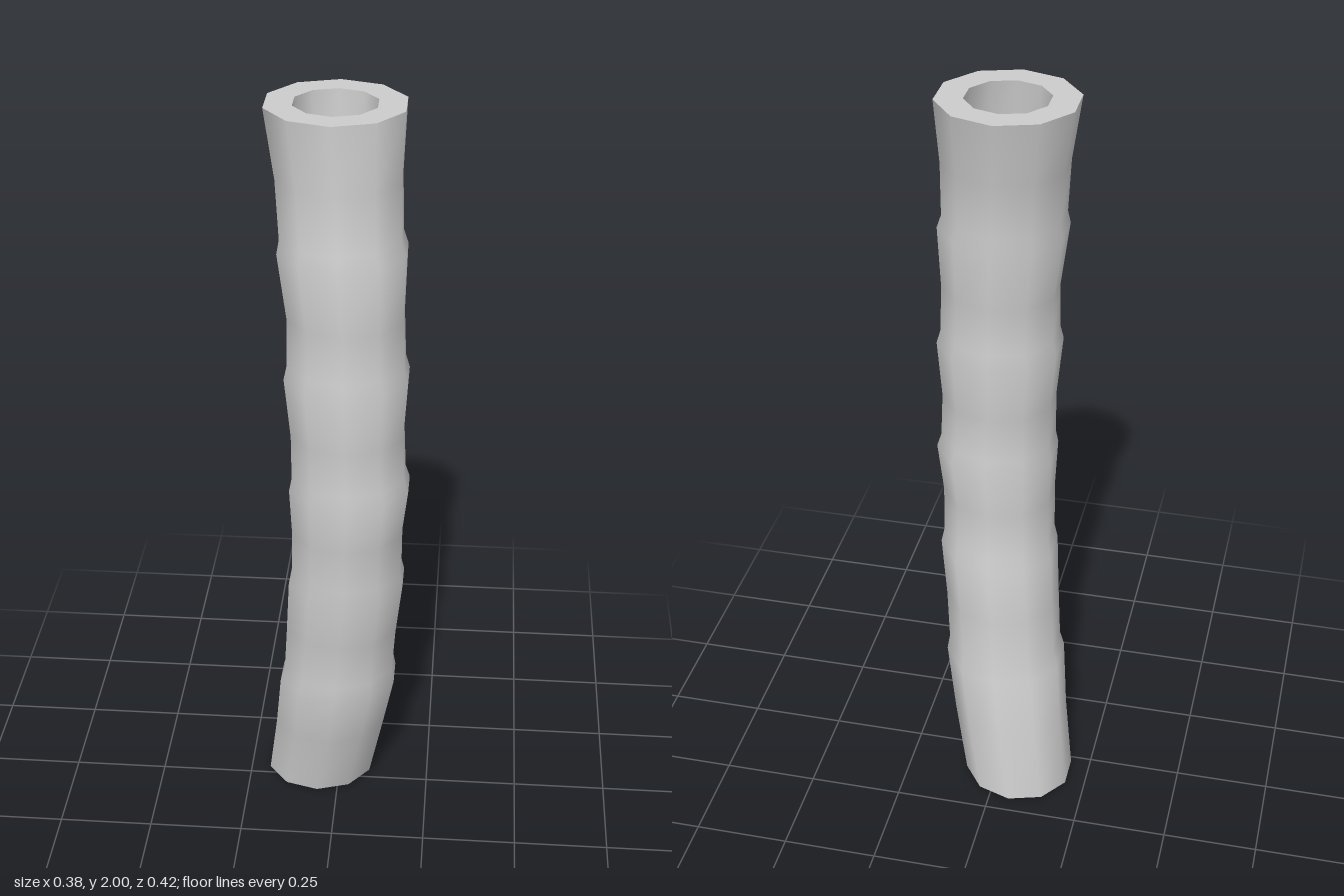
import * as THREE from 'three';
import { toCreasedNormals } from 'three/addons/utils/BufferGeometryUtils.js';

const SIDES = 10;

// Cross-sections up the stalk: height, centre x, centre z, radius, tilt
const STALK = [
  [0.006, -0.055, -0.065, 0.142, 0.03],
  [0.2, -0.024, -0.032, 0.148, 0.04],
  [0.37, 0, 0.008, 0.155, 0.08], // node
  [0.41, 0.003, 0.011, 0.146, 0.08],
  [0.55, 0.012, 0.026, 0.146, 0.06],
  [0.71, 0.025, 0.043, 0.15, 0.05], // node
  [0.745, 0.026, 0.048, 0.142, 0.05],
  [0.87, 0.028, 0.057, 0.141, 0.04],
  [1.005, 0.033, 0.06, 0.152, 0.04], // node
  [1.04, 0.031, 0.061, 0.143, 0.03],
  [1.16, 0.028, 0.061, 0.141, 0.02],
  [1.32, 0.025, 0.056, 0.154, 0], // node
  [1.355, 0.024, 0.055, 0.145, 0],
  [1.48, 0.022, 0.053, 0.142, 0],
  [1.65, 0.013, 0.045, 0.156, 0], // node
  [1.685, 0.01, 0.041, 0.147, 0],
  [1.83, 0.003, 0.024, 0.15, 0],
  [2, -0.007, 0.004, 0.167, 0],
];

// Hollow top: rim edge down to the floor of the bore
const BORE = [
  [2, -0.007, 0.004, 0.1, 0],
  [1.84, 0.003, 0.02, 0.1, 0],
];

// Joins the cross-sections into a skin, closed by a flat cap at each end
function loft(rows) {
  const pos = [];
  const index = [];
  for (const [y, cx, cz, r, tilt] of rows) {
    for (let i = 0; i < SIDES; i++) {
      const a = (i / SIDES) * Math.PI * 2;
      const dx = Math.sin(a) * r * 1.05;
      const dz = Math.cos(a) * r;
      pos.push(cx + dx, y + tilt * (dx * 0.6 + dz), cz + dz);
    }
  }
  for (let j = 0; j < rows.length - 1; j++) {
    for (let i = 0; i < SIDES; i++) {
      const a = j * SIDES + i;
      const b = j * SIDES + ((i + 1) % SIDES);
      index.push(a, b, b + SIDES, a, b + SIDES, a + SIDES);
    }
  }
  const first = pos.length / 3;
  for (const [y, cx, cz] of [rows[0], rows[rows.length - 1]]) pos.push(cx, y, cz);
  const last = (rows.length - 1) * SIDES;
  for (let i = 0; i < SIDES; i++) {
    const n = (i + 1) % SIDES;
    index.push(first, n, i, first + 1, last + i, last + n);
  }
  const geo = new THREE.BufferGeometry();
  geo.setAttribute('position', new THREE.Float32BufferAttribute(pos, 3));
  geo.setIndex(index);
  return toCreasedNormals(geo, THREE.MathUtils.degToRad(45));
}

export function createModel() {
  const group = new THREE.Group();
  group.name = 'bambooStalk';
  const material = new THREE.MeshStandardMaterial({ color: 0xcccccc });

  // Single skin: outer stalk, flat rim, bore wall and bore floor
  const stalk = new THREE.Mesh(loft([...STALK, ...BORE]), material);
  stalk.name = 'stalk';
  group.add(stalk);
  return group;
}
